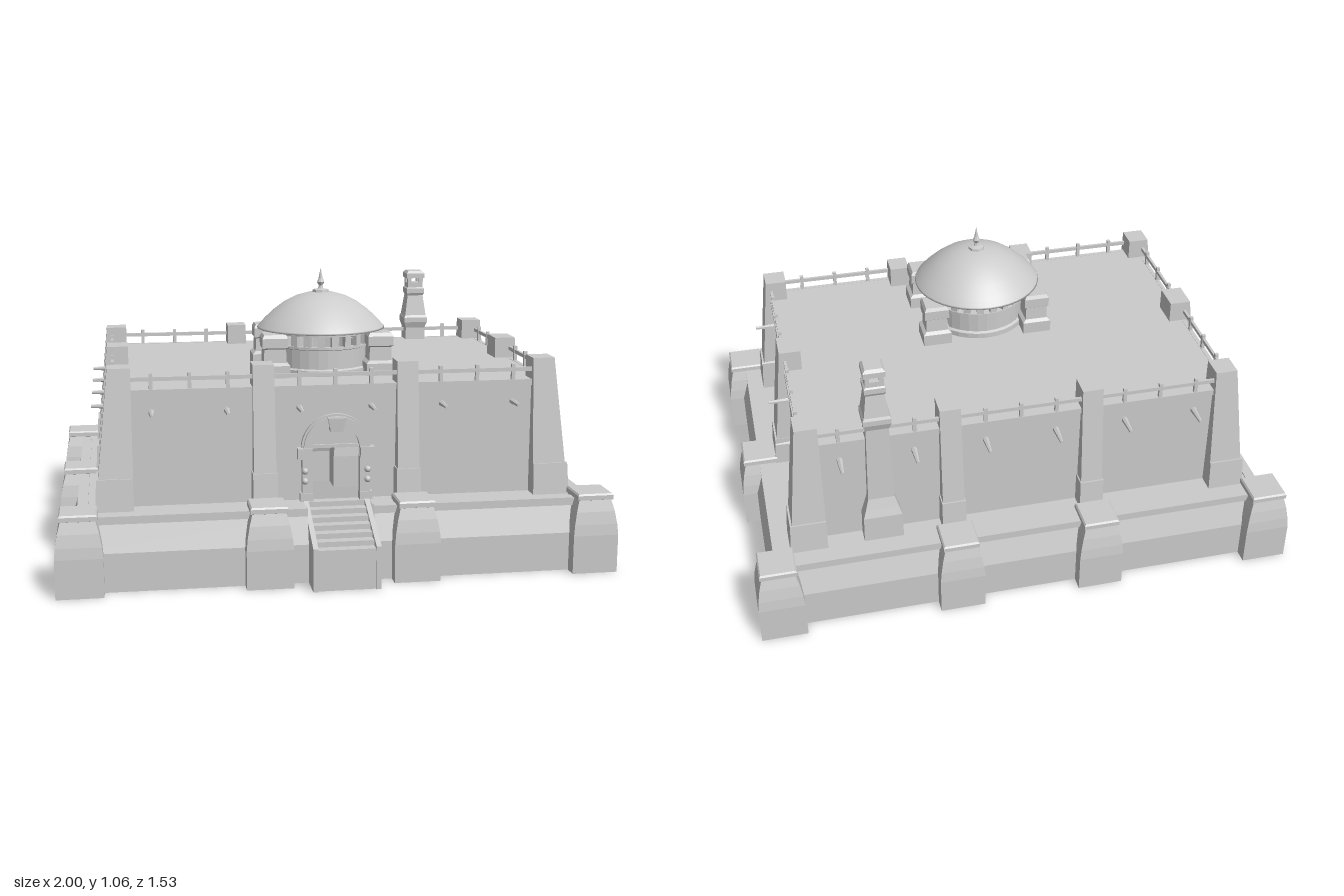
import * as THREE from 'three';

const stone = new THREE.MeshStandardMaterial({ color: 0xcccccc, flatShading: true, side: THREE.DoubleSide });
const smooth = new THREE.MeshStandardMaterial({ color: 0xcccccc, side: THREE.DoubleSide });
const pale = new THREE.MeshStandardMaterial({ color: 0xf4f4f4, side: THREE.DoubleSide });
const X = 0.785, Z = 0.527, FLOOR = 0.26, ROOF = 0.68; // hall half sizes and levels
const SIGNS = [-1, 1];

export function createModel() {
  const model = new THREE.Group();
  model.position.z = -0.027;

  const add = (name, geo, mat = stone, x = 0, y = 0, z = 0) => {
    const m = new THREE.Mesh(geo, mat);
    m.name = name;
    m.position.set(x, y, z);
    model.add(m);
    return m;
  };
  const box = (name, w, h, d, x, y, z) => add(name, new THREE.BoxGeometry(w, h, d), stone, x, y, z);

  // Block between two rectangles [xa, xb, za, zb] at heights y0 and y1
  const block = (name, y0, y1, bottom, top) => {
    const g = new THREE.BoxGeometry(1, 1, 1), p = g.attributes.position;
    for (let i = 0; i < p.count; i++) {
      const up = p.getY(i) > 0, [xa, xb, za, zb] = up ? top : bottom;
      p.setXYZ(i, p.getX(i) > 0 ? Math.max(xa, xb) : Math.min(xa, xb), up ? y1 : y0,
        p.getZ(i) > 0 ? Math.max(za, zb) : Math.min(za, zb));
    }
    g.computeVertexNormals();
    return add(name, g);
  };
  // Square tower from [halfWidth, y] steps
  const squareTower = (name, profile, x, z) => add(name, new THREE.LatheGeometry(
    profile.map(([w, y]) => new THREE.Vector2(w * Math.SQRT2, y)), 4, Math.PI / 4), stone, x, 0, z);
  const lathe = (name, profile, n, mat, x, y, z) => add(name, new THREE.LatheGeometry(
    profile.map(p => new THREE.Vector2(...p)), n), mat, x, y, z);

  // Podium: a [inset, height] profile swept round the base, open at the stairs
  const profile = [[0, 0], [0, 0.14], [0.03, 0.235], [0.022, 0.237], [0.022, 0.265], [0.06, 0.265], [0.06, FLOOR], [0.16, FLOOR]];
  const ring = ([d, y]) => {
    const a = 0.945 - d, b = 0.687 - d;
    return [[0.12, y, b], [a, y, b], [a, y, -b], [-a, y, -b], [-a, y, b], [-0.12, y, b]];
  };
  const verts = [];
  for (let i = 0; i < profile.length - 1; i++) {
    const lo = ring(profile[i]), hi = ring(profile[i + 1]);
    for (let j = 0; j < 5; j++)
      verts.push(...lo[j], ...lo[j + 1], ...hi[j + 1], ...lo[j], ...hi[j + 1], ...hi[j]);
  }
  const podium = new THREE.BufferGeometry();
  podium.setAttribute('position', new THREE.Float32BufferAttribute(verts, 3));
  podium.computeVertexNormals();
  add('podium', podium);

  // Bastions around the podium
  const bastion = [[0.083, 0], [0.083, 0.14], [0.079, 0.18], [0.071, 0.225], [0.06, 0.266],
    [0.066, 0.268], [0.066, 0.284], [0.061, 0.29], [0, 0.29]];
  for (const s of SIGNS) {
    squareTower('sideBastion', bastion, s * 0.917, 0);
    for (const x of [-0.917, -0.262, 0.262, 0.917]) squareTower('bastion', bastion, x, s * 0.655);
  }

  // Hall walls, the front one with a doorway
  const wall = (name, half, door) => {
    const s = new THREE.Shape([[-half, FLOOR], [half, FLOOR], [half, ROOF], [-half, ROOF]].map(p => new THREE.Vector2(...p)));
    if (door) s.holes.push(new THREE.Path([[-0.085, FLOOR + 0.002], [-0.085, 0.455], [0.085, 0.455], [0.085, FLOOR + 0.002]]
      .map(p => new THREE.Vector2(...p))));
    return add(name, new THREE.ShapeGeometry(s));
  };
  wall('frontWall', X, true).position.z = Z;
  const back = wall('backWall', X);
  back.position.z = -Z;
  back.rotation.y = Math.PI;
  for (const s of SIGNS) {
    const side = wall('sideWall', Z);
    side.position.x = s * X;
    side.rotation.y = s * Math.PI / 2;
  }
  box('roof', 2 * X, 0.01, 2 * Z, 0, ROOF - 0.005, 0);

  // Battered pillars with plinths
  for (const sx of SIGNS) {
    const pillar = (name, base, foot, top) => {
      block(name + 'Plinth', FLOOR, 0.375, base[0], base[1]);
      block(name, 0.375, 0.76, foot, top);
    };
    for (const sz of SIGNS) {
      const q = (xo, zo) => [sx * 0.725, sx * xo, sz * 0.457, sz * zo];
      pillar('cornerPillar', [q(0.86, 0.592), q(0.853, 0.584)], q(0.846, 0.578), q(0.805, 0.543));
      const m = (w, zo) => [sx * 0.26 - w, sx * 0.26 + w, sz * 0.457, sz * zo];
      pillar('middlePillar', [m(0.044, 0.592), m(0.044, 0.584)], m(0.04, 0.578), m(0.038, 0.543));
    }
    const e = (w, xo) => [sx * 0.725, sx * xo, -w, w];
    pillar('sidePillar', [e(0.062, 0.86), e(0.062, 0.853)], e(0.06, 0.846), e(0.055, 0.805));
  }

  // Wall bands, railings and beam ends
  const beam = (x, z, turn) => {
    const b = new THREE.CylinderGeometry(0.006, 0.012, 0.09, 6).rotateX(Math.PI / 2).translate(0, 0, 0.035);
    add('beamEnd', b, stone, x, 0.6, z).rotation.y = turn;
  };
  const post = (x, z) => box('railPost', 0.013, 0.06, 0.013, x, ROOF + 0.028, z);
  for (const s of SIGNS) {
    box('wallBand', 2 * X + 0.016, 0.022, 0.016, 0, 0.67, s * Z);
    box('wallBand', 0.016, 0.022, 2 * Z + 0.016, s * X, 0.67, 0);
    box('rail', 2 * X, 0.014, 0.01, 0, 0.718, s * Z);
    box('rail', 0.01, 0.014, 2 * Z, s * X, 0.718, 0);
    for (const x of [-0.655, -0.39, -0.13, 0.13, 0.39, 0.655]) beam(x, s * Z, s > 0 ? 0 : Math.PI);
    for (const z of [-0.393, -0.13, 0.13, 0.393]) beam(s * X, z, s * Math.PI / 2);
    for (const x of [-0.655, -0.52, -0.385, -0.13, 0, 0.13, 0.385, 0.52, 0.655]) post(x, s * Z);
    for (const z of [-0.393, -0.26, -0.13, 0.13, 0.26, 0.393]) post(s * X, z);
  }

  // Doorway surround: jambs, capitals, studs, arch and keystone
  for (const s of SIGNS) {
    box('doorJamb', 0.038, 0.16, 0.03, s * 0.105, FLOOR + 0.08, Z + 0.012);
    box('doorCapital', 0.052, 0.04, 0.04, s * 0.114, 0.435, Z + 0.014);
    box('doorFoot', 0.046, 0.03, 0.038, s * 0.108, FLOOR + 0.015, Z + 0.014);
    for (const y of [0.335, 0.372]) add('doorStud', new THREE.SphereGeometry(0.012, 10, 8), smooth, s * 0.114, y, Z + 0.028);
  }
  const arch = (ro, ri) => {
    const a = new THREE.Shape();
    a.absarc(0, 0, ro, 0, Math.PI, false);
    a.absarc(0, 0, ri, Math.PI, 0, true);
    return a;
  };
  const archGeo = (ro, ri, depth) => new THREE.ExtrudeGeometry(arch(ro, ri), { depth, bevelEnabled: false, curveSegments: 14 });
  add('doorArch', archGeo(0.118, 0.085, 0.03), stone, 0, 0.45, Z - 0.003);
  add('archMoulding', archGeo(0.126, 0.11, 0.02), stone, 0, 0.45, Z - 0.003);
  box('lintel', 0.18, 0.012, 0.02, 0, 0.457, Z);
  block('keystone', 0.515, 0.565, [-0.022, 0.022, Z, Z + 0.038], [-0.033, 0.033, Z, Z + 0.042]);

  // Stairs
  const stringer = new THREE.Shape([[0.527, 0], [0.792, 0], [0.792, 0.155], [0.527, 0.278]].map(p => new THREE.Vector2(...p)));
  for (const x of [-0.12, 0.102]) {
    const g = new THREE.ExtrudeGeometry(stringer, { depth: 0.018, bevelEnabled: false });
    add('stairWall', g.rotateY(-Math.PI / 2).translate(0.018, 0, 0), stone, x);
  }
  box('stairFront', 0.21, 0.13, 0.01, 0, 0.065, 0.78);
  for (let i = 0; i < 7; i++) box('step', 0.21, 0.03, 0.037, 0, 0.132 + i * 0.0187, 0.767 - i * 0.037);

  // Domed lantern: drum, window posts, buttresses, dome and finial
  const DZ = 0.185;
  lathe('drum', [[0.19, ROOF], [0.19, 0.7], [0.18, 0.705], [0.18, 0.775], [0.188, 0.778], [0.188, 0.787], [0.165, 0.787]], 32, stone, 0, 0, DZ);
  lathe('drumLintel', [[0.165, 0.825], [0.185, 0.825], [0.185, 0.843], [0.165, 0.843], [0.165, 0.825]], 32, stone, 0, 0, DZ);
  for (let i = 0; i < 22; i++) {
    const a = (i + 0.5) / 22 * Math.PI * 2;
    box('windowPost', 0.026, 0.042, 0.018, Math.sin(a) * 0.175, 0.806, DZ + Math.cos(a) * 0.175).rotation.y = a;
  }
  for (const sx of SIGNS) for (const sz of SIGNS)
    squareTower('drumButtress', [[0.054, ROOF], [0.054, 0.725], [0.042, 0.735], [0.04, 0.785], [0.047, 0.79],
      [0.047, 0.825], [0.04, 0.838], [0, 0.838]], sx * 0.196, DZ + sz * 0.14);
  lathe('dome', [[0.23, 0.84], [0.241, 0.84], [0.238, 0.847], [0.215, 0.872], [0.18, 0.905], [0.14, 0.935], [0.095, 0.958],
    [0.05, 0.971], [0, 0.976]], 40, pale, 0, 0, DZ);
  lathe('finial', [[0.032, 0.97], [0.03, 0.982], [0.01, 0.986], [0.007, 0.997], [0.014, 1.01], [0.008, 1.024], [0, 1.064]], 8, stone, 0, 0, DZ);

  // Chimney on the back wall
  const CX = 0.52, CZ = -0.515;
  squareTower('chimney', [[0.072, FLOOR], [0.07, 0.36], [0.06, 0.39], [0.048, 0.43], [0.041, 0.73], [0.05, 0.755], [0.05, 0.775],
    [0.045, 0.785], [0.033, 0.87], [0.038, 0.88], [0.038, 0.9], [0.033, 0.905], [0.033, 0.925], [0, 0.925]], CX, CZ);
  for (const sx of SIGNS) for (const sz of SIGNS)
    box('chimneyPost', 0.016, 0.03, 0.016, CX + sx * 0.025, 0.935, CZ + sz * 0.025);
  squareTower('chimneyCap', [[0, 0.945], [0.039, 0.945], [0.039, 0.965], [0.03, 0.976], [0, 0.976]], CX, CZ);

  const root = new THREE.Group();
  root.name = 'domedFort';
  root.add(model);
  return root;
}
